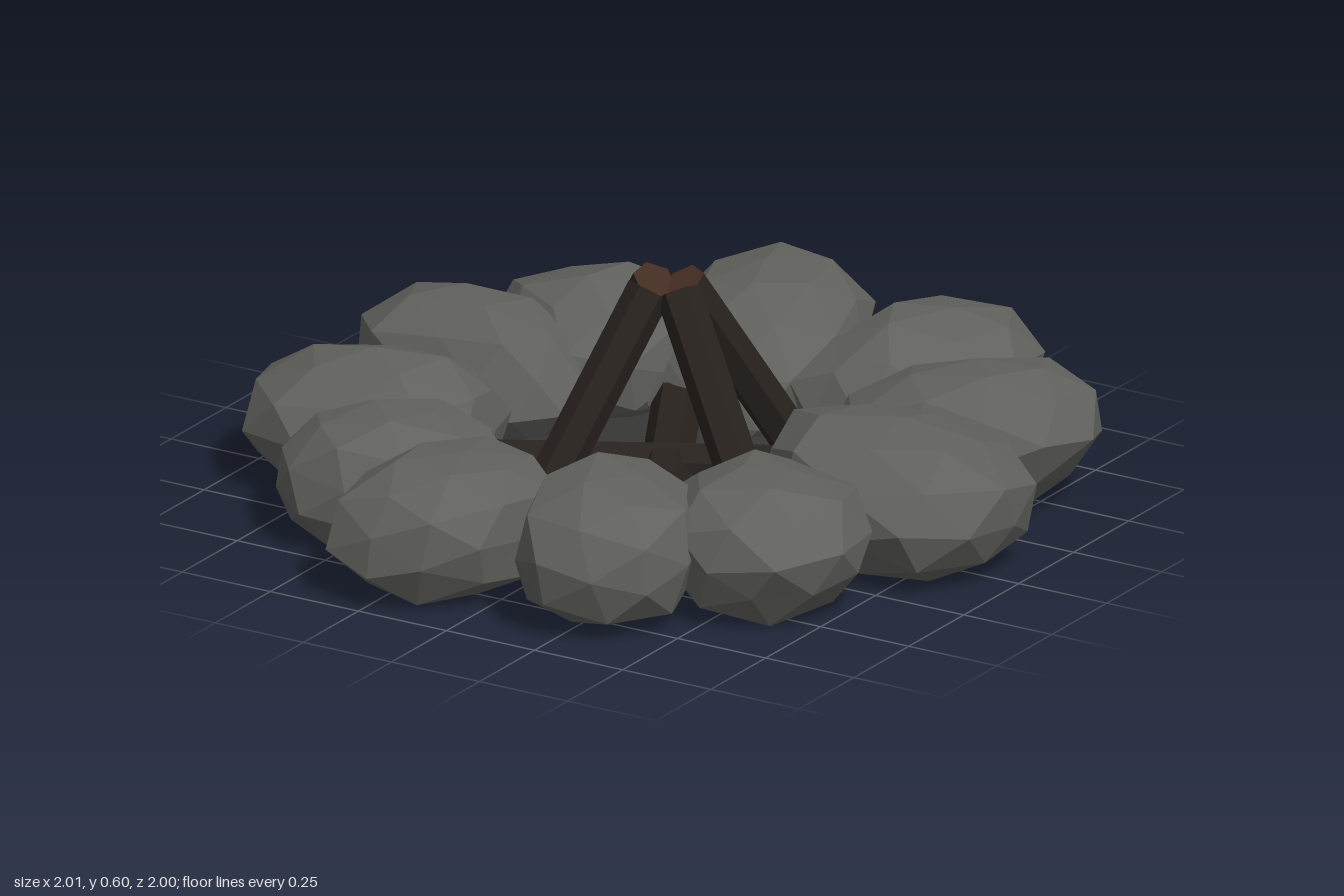
import * as THREE from 'three';
import { mergeVertices } from 'three/addons/utils/BufferGeometryUtils.js';

const mat = (color, extra = {}) => new THREE.MeshStandardMaterial({ color, flatShading: true, ...extra });

function seeded(seed) {
  let s = seed * 7919 + 17;
  return () => (s = (s * 16807) % 2147483647) / 2147483647;
}

// Faceted boulder: x runs outward from the fire, base cut flat at y = 0
function stoneGeometry(seed, halfLength, halfWidth, height, tilt) {
  const rand = seeded(seed);
  for (let i = 0; i < 5; i++) rand();
  let geo = new THREE.IcosahedronGeometry(1, 1);
  geo.deleteAttribute('normal');
  geo.deleteAttribute('uv');
  geo = mergeVertices(geo, 1e-3);
  geo.rotateX(rand() * 6);
  geo.rotateY(rand() * 6);
  const p = geo.attributes.position;
  const v = new THREE.Vector3();
  for (let i = 0; i < p.count; i++) {
    v.fromBufferAttribute(p, i);
    // slightly boxy, uneven, narrower towards the fire
    const n = Math.pow(Math.abs(v.x) ** 2.4 + Math.abs(v.y) ** 2.4 + Math.abs(v.z) ** 2.4, 1 / 2.4);
    v.multiplyScalar((0.93 + 0.15 * rand()) / n);
    v.z *= 1 + 0.08 * v.x;
    p.setXYZ(i, v.x, v.y, v.z);
  }
  geo.computeBoundingBox();
  const { min, max } = geo.boundingBox;
  const fit = (a, lo, hi, to0, to1) => to0 + ((a - lo) / (hi - lo)) * (to1 - to0);
  for (let i = 0; i < p.count; i++) {
    const x = fit(p.getX(i), min.x, max.x, -halfLength, halfLength);
    const y = fit(p.getY(i), min.y, max.y, -0.025, height) + tilt * x;
    const z = fit(p.getZ(i), min.z, max.z, -halfWidth, halfWidth);
    p.setXYZ(i, x, Math.max(0, y), z);
  }
  geo.computeVertexNormals();
  return geo;
}

// Six-sided log between two points; materials are side, end cap, start cap
function log(name, from, to, radius, materials) {
  const dir = new THREE.Vector3().subVectors(to, from);
  const mesh = new THREE.Mesh(new THREE.CylinderGeometry(radius, radius, dir.length(), 6), materials);
  mesh.position.addVectors(from, to).multiplyScalar(0.5);
  mesh.quaternion.setFromUnitVectors(new THREE.Vector3(0, 1, 0), dir.normalize());
  mesh.name = name;
  return mesh;
}

export function createModel() {
  const model = new THREE.Group();
  model.name = 'campfire';
  const stoneMat = mat(0x60615c);
  const bark = mat(0x28221e);
  const cutWood = mat(0x432d21);

  // Ring of stones: x, z, half length, half width, height, tilt, turn off the radial line
  const stones = [
    [0.66, 0.01, 0.33, 0.26, 0.36, -0.06, 0],
    [0.585, -0.415, 0.33, 0.235, 0.34, 0.12, -0.15],
    [0.3, -0.65, 0.33, 0.23, 0.36, 0.05, 0.08],
    [-0.16, -0.66, 0.34, 0.26, 0.34, 0.22, 0],
    [-0.51, -0.5, 0.29, 0.255, 0.34, 0, 0],
    [-0.67, -0.24, 0.33, 0.24, 0.33, 0, 0],
    [-0.69, 0.22, 0.31, 0.25, 0.34, 0, 0],
    [-0.48, 0.47, 0.29, 0.23, 0.3, 0, 0],
    [-0.18, 0.69, 0.31, 0.23, 0.31, 0, 0],
    [0.25, 0.64, 0.3, 0.23, 0.34, 0, 0],
    [0.54, 0.42, 0.28, 0.25, 0.33, 0, 0],
  ];
  const ring = new THREE.Group();
  ring.name = 'stoneRing';
  stones.forEach(([x, z, len, wid, h, tilt, turn], i) => {
    const stone = new THREE.Mesh(stoneGeometry(i + 3, len, wid, h, tilt), stoneMat);
    stone.name = `stone${i + 1}`;
    stone.position.set(x, 0, z);
    stone.rotation.y = Math.atan2(-z, x) + turn;
    ring.add(stone);
  });
  model.add(ring);

  // Shallow ash mound, open underneath
  const ash = new THREE.Mesh(
    new THREE.ConeGeometry(0.62, 0.08, 12, 1, true),
    mat(0x393837, { side: THREE.DoubleSide })
  );
  ash.name = 'ashMound';
  ash.position.y = 0.07;
  model.add(ash);

  const polar = (angle, r, y) => new THREE.Vector3(r * Math.cos(angle), y, r * Math.sin(angle));

  // Four logs leaning together at the top
  for (let i = 0; i < 4; i++) {
    const a = 0.41 + (i * Math.PI) / 2;
    model.add(log(`leaningLog${i + 1}`, polar(a, 0.385, 0.065), polar(a, 0.05, 0.565), 0.055, [bark, cutWood, bark]));
  }

  // Two logs lying crossed on the ash
  for (let i = 0; i < 2; i++) {
    const a = -0.5 + (i * Math.PI) / 2;
    model.add(log(`lyingLog${i + 1}`, polar(a + Math.PI, 0.43, 0.1), polar(a, 0.43, 0.1), 0.062, bark));
  }
  return model;
}
